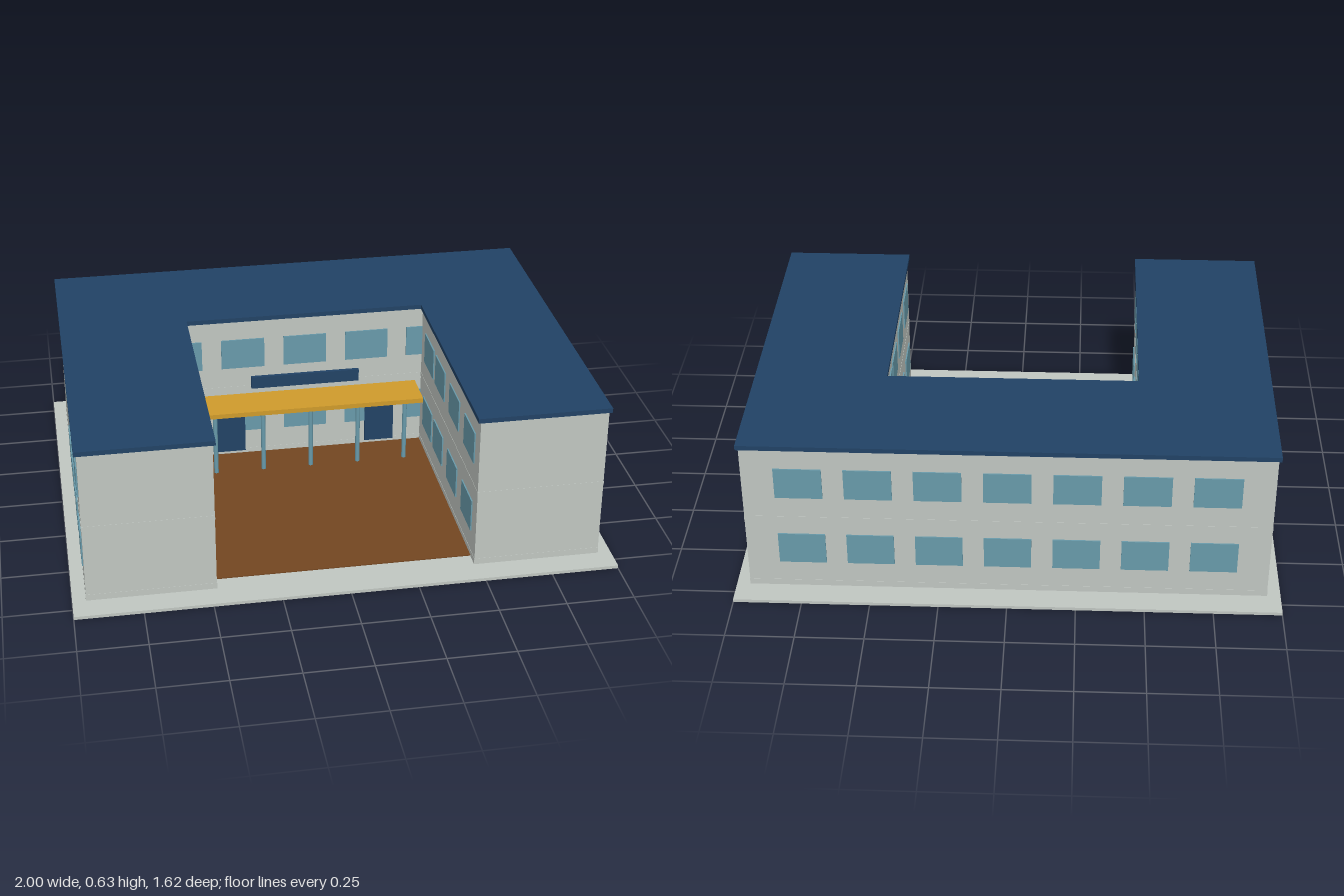
import * as THREE from 'three';

const mat = (name, color) => {
  const m = new THREE.MeshStandardMaterial({ color });
  m.name = name;
  return m;
};

export function createModel() {
  const wall = mat('pale grey wall', 0xc0c6c1);
  const navy = mat('navy blue', 0x214265);
  const glass = mat('teal glass', 0x689aaa);
  const ochre = mat('ochre canopy', 0xcf9b2b);
  const brown = mat('brown paving', 0x734621);

  const model = new THREE.Group();
  model.name = 'courtyardBuilding';

  const add = (name, geometry, material, parent = model) => {
    const mesh = new THREE.Mesh(geometry, material);
    mesh.name = name;
    parent.add(mesh);
    return mesh;
  };
  // box given by its lower and upper corners
  const box = (name, [x0, y0, z0], [x1, y1, z1], material, parent) => {
    const mesh = add(name, new THREE.BoxGeometry(x1 - x0, y1 - y0, z1 - z0), material, parent);
    mesh.position.set((x0 + x1) / 2, (y0 + y1) / 2, (z0 + z1) / 2);
    return mesh;
  };
  const group = (name) => {
    const g = new THREE.Group();
    g.name = name;
    model.add(g);
    return g;
  };

  // U-shaped slab: outer half width, inner half width, half depth, courtyard back z
  const uSlab = (name, w, inner, d, back, y0, y1, material) => {
    const outline = [[-w, d], [w, d], [w, -d], [inner, -d], [inner, -back], [-inner, -back], [-inner, -d], [-w, -d]];
    const shape = new THREE.Shape(outline.reverse().map(([x, y]) => new THREE.Vector2(x, y)));
    const geo = new THREE.ExtrudeGeometry(shape, { depth: y1 - y0, bevelEnabled: false });
    geo.rotateX(-Math.PI / 2);
    add(name, geo, material).position.y = y0;
  };

  // ground
  box('basePlate', [-1, 0, -0.81], [1, 0.012, 0.81], wall);
  box('courtyardPaving', [-0.478, 0.01, -0.245], [0.478, 0.016, 0.655], brown);

  // building body, thin floor bands and roof
  const W = 0.95, IN = 0.478, D = 0.713, BACK = -0.242;
  uSlab('walls', W, IN, D, BACK, 0.012, 0.61, wall);
  uSlab('plinthBand', W + 0.001, IN - 0.001, D + 0.001, BACK + 0.001, 0.012, 0.036, wall);
  uSlab('floorBand', W + 0.001, IN - 0.001, D + 0.001, BACK + 0.001, 0.305, 0.322, wall);
  uSlab('roof', 0.96, 0.468, 0.72, -0.234, 0.61, 0.628, navy);

  // windows on both storeys
  const T = 0.005;
  const windows = group('windows');
  for (const [y0, y1] of [[0.12, 0.246], [0.406, 0.53]]) {
    // sides of the wings, outside and courtyard
    for (const z of [0.572, 0.333, 0.097, -0.093]) {
      for (const x of [-W, -IN, IN, W]) {
        box('wingWindow', [x - T, y0, z - 0.078], [x + T, y1, z + 0.078], glass, windows);
      }
    }
    // rear face
    for (let i = -3; i <= 3; i++) {
      const x = i * 0.249;
      box('rearWindow', [x - 0.086, y0, -D - T], [x + 0.086, y1, -D + T], glass, windows);
    }
    // courtyard face; the outer ones run into the wings
    for (let i = -2; i <= 2; i++) {
      const x0 = Math.max(i * 0.249 - 0.086, -IN), x1 = Math.min(i * 0.249 + 0.086, IN);
      box('courtyardWindow', [x0, y0, BACK - T], [x1, y1, BACK + T], glass, windows);
    }
  }

  // entrance: doors, blank board, canopy on posts
  for (const s of [-1, 1]) {
    box('door', [s * 0.305 - 0.059, 0.03, BACK], [s * 0.305 + 0.059, 0.246, BACK + 0.009], navy);
  }
  box('entranceBoard', [-0.218, 0.313, BACK], [0.218, 0.363, BACK + 0.014], navy);
  box('canopy', [-0.453, 0.268, BACK], [0.453, 0.287, -0.082], ochre);
  const posts = group('canopyPosts');
  for (let i = -2; i <= 2; i++) {
    const post = add('post', new THREE.CylinderGeometry(0.009, 0.009, 0.256, 12), glass, posts);
    post.position.set(i * 0.191, 0.14, -0.1);
  }

  return model;
}
